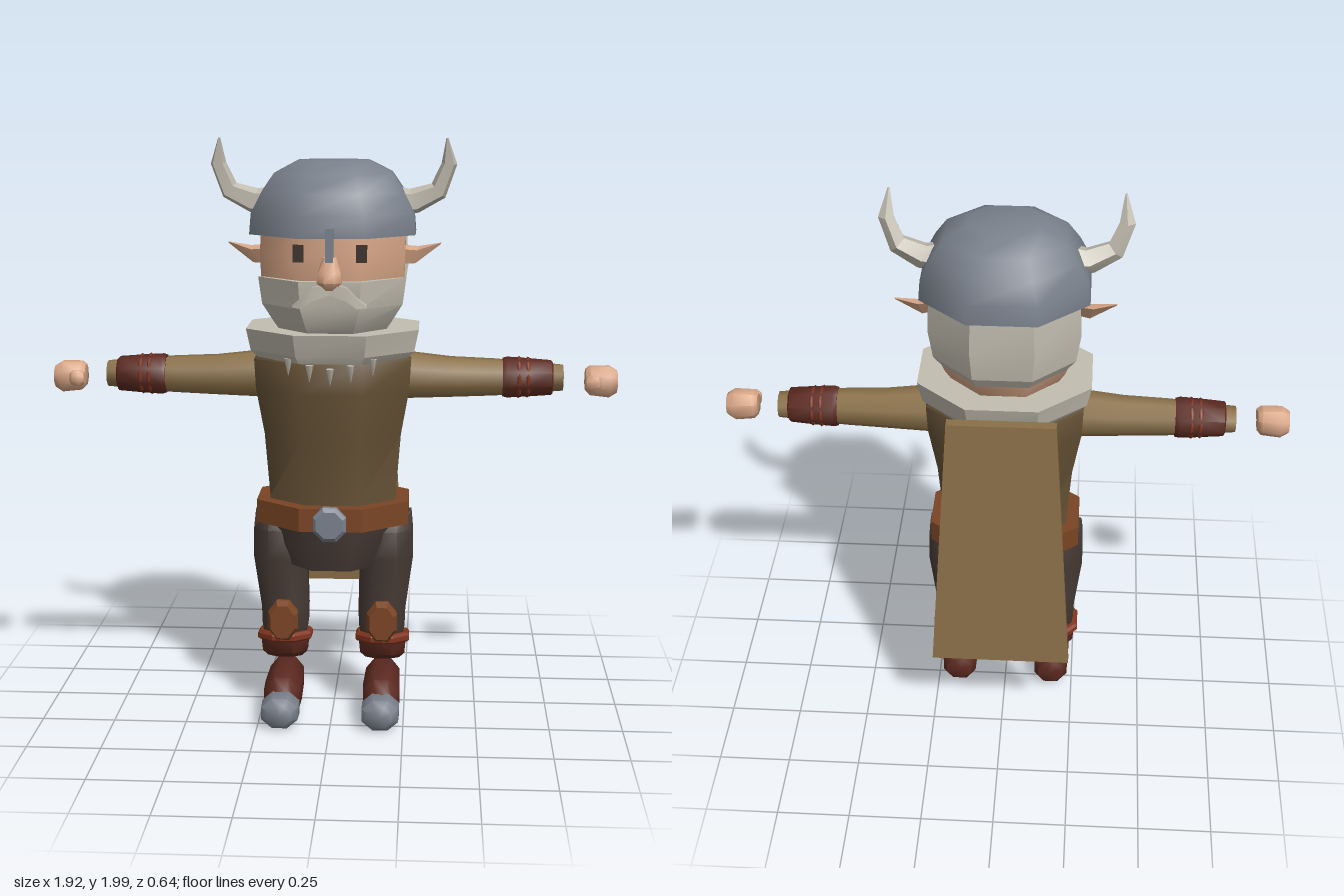
import * as THREE from 'three';
import { toCreasedNormals } from 'three/addons/utils/BufferGeometryUtils.js';

const mat = (name, color) => Object.assign(new THREE.MeshStandardMaterial({ color }), { name });
const V = (x, y, z) => new THREE.Vector3(x, y, z);

// Octagonal cross-sections (radii measured to the flats)
function ring(n, put) {
  const k = 1 / Math.cos(Math.PI / n);
  return Array.from({ length: n }, (_, i) => {
    const a = (i + 0.5) * 2 * Math.PI / n;
    return put(Math.sin(a) * k, Math.cos(a) * k);
  });
}
const ringY = (y, rx, rz, cx = 0, cz = 0.03, tilt = 0) =>
  ring(8, (s, c) => V(cx + s * rx, y + c * tilt, cz + c * rz));
const ringX = (x, ry, rz, cy, cz, n = 8) => ring(n, (s, c) => V(x, cy + s * ry, cz + c * rz));
const ringZ = (z, rx, ry, cx, cy) => ring(8, (s, c) => V(cx + s * rx, cy + c * ry, z));

// Capped skin over a row of cross-sections, always wound outwards
function loft(sections, crease = 0.3) {
  const n = sections[0].length, tris = [];
  for (let i = 0; i < sections.length - 1; i++) {
    for (let j = 0; j < n; j++) {
      const k = (j + 1) % n, [p, q] = [sections[i], sections[i + 1]];
      tris.push([p[j], p[k], q[k]], [p[j], q[k], q[j]]);
    }
  }
  for (const [s, flip] of [[sections[0], true], [sections.at(-1), false]]) {
    const c = s.reduce((a, p) => a.add(p), V(0, 0, 0)).divideScalar(n);
    s.forEach((p, j) => {
      const q = s[(j + 1) % n];
      tris.push(flip ? [c, q, p] : [c, p, q]);
    });
  }
  const o = sections[0][0];
  const volume = tris.reduce((sum, [a, b, c]) =>
    sum + a.clone().sub(o).dot(b.clone().sub(o).cross(c.clone().sub(o))), 0);
  if (volume < 0) tris.forEach(t => t.reverse());
  const g = new THREE.BufferGeometry().setFromPoints(tris.flat());
  return toCreasedNormals(g, crease);
}

// Thick shell over three sides of the head; profile rows are [y, rx, rz, thickness]
function wrap(rows, facing) {
  const k = 1 / Math.cos(Math.PI / 8);
  return loft([-1.5, -0.5, 0.5, 1.5].map(t => {
    const a = facing + t * Math.PI / 4;
    const at = ([y, rx, rz, d], inner) =>
      V(Math.sin(a) * (rx - d * inner) * k, y, 0.03 + Math.cos(a) * (rz - d * inner) * k);
    return [...rows.map(r => at(r, 0)), ...rows.slice().reverse().map(r => at(r, 1))];
  }));
}

export function createModel() {
  const model = new THREE.Group();
  model.name = 'hornedWarrior';
  const M = {
    steel: mat('steel', 0x7a818c), skin: mat('skin', 0xd9a787), fur: mat('fur', 0xc2bdb0),
    tunic: mat('tunic', 0x665236), cloth: mat('tanCloth', 0x8a7048), leather: mat('leather', 0x7a4524),
    pants: mat('pants', 0x463a34), boots: mat('boots', 0x5c2a20), strap: mat('strap', 0x83351f),
    dark: mat('dark', 0x3c302a),
  };
  const add = (name, g, m) => {
    const mesh = new THREE.Mesh(g, m);
    mesh.name = name;
    model.add(mesh);
    return mesh;
  };
  const box = (name, w, h, d, x, y, z, m) =>
    add(name, new THREE.BoxGeometry(w, h, d), m).position.set(x, y, z);
  const SMOOTH = 0.9;

  // Torso, belt and hips
  add('torso', loft([
    ringY(0.7, 0.215, 0.165), ringY(0.78, 0.215, 0.165), ringY(1, 0.232, 0.192),
    ringY(1.16, 0.26, 0.212), ringY(1.26, 0.265, 0.215), ringY(1.34, 0.2, 0.18)], SMOOTH), M.tunic);
  add('belt', loft([ringY(0.69, 0.26, 0.21), ringY(0.77, 0.26, 0.21)]), M.leather);
  add('buckle', loft([ringZ(0.23, 0.045, 0.045, 0, 0.73), ringZ(0.275, 0.055, 0.058, 0, 0.73),
    ringZ(0.295, 0.055, 0.058, 0, 0.73), ringZ(0.305, 0.045, 0.045, 0, 0.73)]), M.steel);
  add('hips', loft([ringY(0.54, 0.165, 0.165), ringY(0.62, 0.19, 0.185), ringY(0.72, 0.215, 0.19)], SMOOTH), M.pants);

  // Fur collar with a flared rim
  add('collar', loft([ringY(1.265, 0.25, 0.222), ringY(1.29, 0.275, 0.235), ringY(1.365, 0.29, 0.257),
    ringY(1.365, 0.2, 0.18)]), M.fur);

  // Tooth necklace
  [[-0.14, 1.25], [-0.068, 1.232], [0, 1.22], [0.068, 1.232], [0.14, 1.25]].forEach(([x, y]) => {
    const tooth = add('necklaceTooth', new THREE.ConeGeometry(0.015, 0.06, 5), M.fur);
    tooth.position.set(x, y, 0.255 - Math.max(0, Math.abs(x) - 0.1) * 0.6);
    tooth.rotation.x = Math.PI;
  });

  // Head, helmet, hair and beard
  add('head', loft([ringY(1.33, 0.16, 0.15), ringY(1.4, 0.2, 0.19), ringY(1.5, 0.236, 0.218),
    ringY(1.62, 0.242, 0.227), ringY(1.72, 0.235, 0.222)], SMOOTH), M.skin);
  add('helmet', loft([ringY(1.7, 0.24, 0.22), ringY(1.68, 0.276, 0.25), ringY(1.75, 0.27, 0.25),
    ringY(1.82, 0.235, 0.222), ringY(1.88, 0.195, 0.178), ringY(1.92, 0.12, 0.1)], SMOOTH), M.steel);
  add('beard', wrap([[1.355, 0.175, 0.2, 0.06], [1.385, 0.195, 0.222, 0.06], [1.45, 0.235, 0.245, 0.06],
    [1.54, 0.247, 0.25, 0.04]], 0), M.fur);
  add('hair', wrap([[1.42, 0.205, 0.2, 0.05], [1.46, 0.235, 0.225, 0.05], [1.56, 0.25, 0.24, 0.05],
    [1.69, 0.245, 0.235, 0.05]], Math.PI), M.fur);
  add('noseGuard', new THREE.BoxGeometry(0.026, 0.11, 0.03), M.steel).position.set(0, 1.66, 0.29);
  add('nose', loft([ringY(1.515, 0.02, 0.018, 0, 0.285), ringY(1.54, 0.04, 0.032, 0, 0.29),
    ringY(1.57, 0.038, 0.03, 0, 0.285), ringY(1.62, 0.022, 0.022, 0, 0.275)], SMOOTH), M.skin);

  // Cape, narrow at the shoulders and leaning back
  const slab = (y, w, z, d) => [V(-w, y, z), V(w, y, z), V(w, y, z - d), V(-w, y, z - d)];
  add('cape', loft([slab(0.365, 0.24, -0.285, 0.036), slab(1.325, 0.18, -0.225, 0.036)]), M.cloth);

  for (const s of [1, -1]) {
    // Face details
    box('eye', 0.036, 0.056, 0.02, s * 0.103, 1.63, 0.258, M.dark);
    const whisker = (x, top, bottom, front) => [V(s * x, top, front), V(s * x, bottom, front),
      V(s * x, bottom, 0.25), V(s * x, top, 0.25)];
    add('moustache', loft([whisker(0, 1.535, 1.5, 0.3), whisker(0.055, 1.525, 1.48, 0.305),
      whisker(0.09, 1.49, 1.455, 0.3), whisker(0.122, 1.462, 1.457, 0.285)]), M.fur);
    add('ear', loft([
      [V(s * 0.225, 1.635, -0.01), V(s * 0.24, 1.575, 0.035), V(s * 0.235, 1.625, 0.055)],
      [V(s * 0.285, 1.63, -0.015), V(s * 0.275, 1.575, 0.02), V(s * 0.28, 1.62, 0.035)],
      [V(s * 0.362, 1.643, -0.004), V(s * 0.36, 1.638, 0), V(s * 0.362, 1.643, 0.002)]]), M.skin);

    // Horn: square sections along a rising curve [x, y, z, radius, lean]
    add('horn', loft([[0.225, 1.785, 0.035, 0.042, 1.3], [0.27, 1.785, 0.035, 0.036, 1.2],
      [0.35, 1.82, 0.045, 0.028, 0.8], [0.385, 1.91, 0.06, 0.022, 0.1], [0.377, 1.995, 0.088, 0.003, 0]]
      .map(([x, y, z, r, a]) => ring(5, (u, v) =>
        V(s * (x - u * r * Math.cos(a)), y + u * r * Math.sin(a), z + v * r)))), M.fur);

    // Arm, bracer and detached hand
    const X = (x, ry, rz = ry, cy = 1.19, cz = 0.03) => ringX(s * x, ry, rz, cy, cz);
    add('sleeve', loft([X(0.17, 0.08, 0.075), X(0.27, 0.075, 0.075, 1.195), X(0.4, 0.066, 0.064),
      X(0.55, 0.06, 0.058), X(0.78, 0.042, 0.042)], SMOOTH), M.cloth);
    add('bracer', loft([X(0.575, 0.062), X(0.59, 0.066), X(0.66, 0.062), X(0.74, 0.056), X(0.745, 0.05)], SMOOTH), M.boots);
    [[0.63, 0.066], [0.66, 0.064]].forEach(([x, r]) => {
      const band = add('bracerStrap', new THREE.TorusGeometry(r, 0.007, 5, 8), M.strap);
      band.position.set(s * x, 1.19, 0.03);
      band.rotation.y = Math.PI / 2;
    });
    add('hand', loft([X(0.855, 0.035, 0.033, 1.185, 0.038), X(0.87, 0.048, 0.045, 1.183, 0.038),
      X(0.935, 0.052, 0.047, 1.18, 0.038), X(0.962, 0.036, 0.034, 1.18, 0.038)], SMOOTH), M.skin);
    add('thumb', loft([X(0.855, 0.018, 0.014, 1.18, 0.082), X(0.87, 0.028, 0.02, 1.18, 0.084),
      X(0.895, 0.025, 0.018, 1.18, 0.084), X(0.905, 0.014, 0.01, 1.18, 0.08)], SMOOTH), M.skin);

    // Leg with knee pad
    add('leg', loft([ringY(0.24, 0.07, 0.065, s * 0.17, 0.03), ringY(0.31, 0.08, 0.085, s * 0.17, 0.028),
      ringY(0.37, 0.082, 0.075, s * 0.17, 0.03), ringY(0.56, 0.092, 0.09, s * 0.185, 0.04),
      ringY(0.66, 0.09, 0.09, s * 0.185, 0.04), ringY(0.72, 0.085, 0.055, s * 0.185, 0.035)], SMOOTH), M.pants);
    add('kneePad', loft([ringZ(0.085, 0.048, 0.066, s * 0.172, 0.34), ringZ(0.13, 0.053, 0.072, s * 0.172, 0.34),
      ringZ(0.155, 0.042, 0.058, s * 0.172, 0.34)]), M.leather);

    // Boot cuff, strap, shoe and steel toe
    const cuff = (y, r, z = 0.03) => ringY(y, r, r, s * 0.172, z, 0.01);
    add('bootCuff', loft([cuff(0.18, 0.06, 0.025), cuff(0.2, 0.078, 0.027), cuff(0.245, 0.082)], SMOOTH), M.boots);
    add('cuffStrap', loft([cuff(0.245, 0.088), cuff(0.252, 0.094), cuff(0.268, 0.094), cuff(0.278, 0.086)]), M.strap);
    const Z = (z, rx, ry, y) => ringZ(z, rx, ry, s * 0.172, y);
    add('shoe', loft([Z(-0.068, 0.045, 0.042, 0.08), Z(-0.035, 0.06, 0.075, 0.08), Z(0.12, 0.064, 0.075, 0.08),
      Z(0.19, 0.062, 0.072, 0.078), Z(0.235, 0.045, 0.045, 0.07)], SMOOTH), M.boots);
    add('toeCap', loft([Z(0.2, 0.055, 0.045, 0.06), Z(0.225, 0.064, 0.055, 0.06), Z(0.295, 0.062, 0.053, 0.06),
      Z(0.318, 0.04, 0.034, 0.06)], SMOOTH), M.steel);
  }
  // Rest the soles on the ground
  model.position.y = -0.003;
  return model;
}
